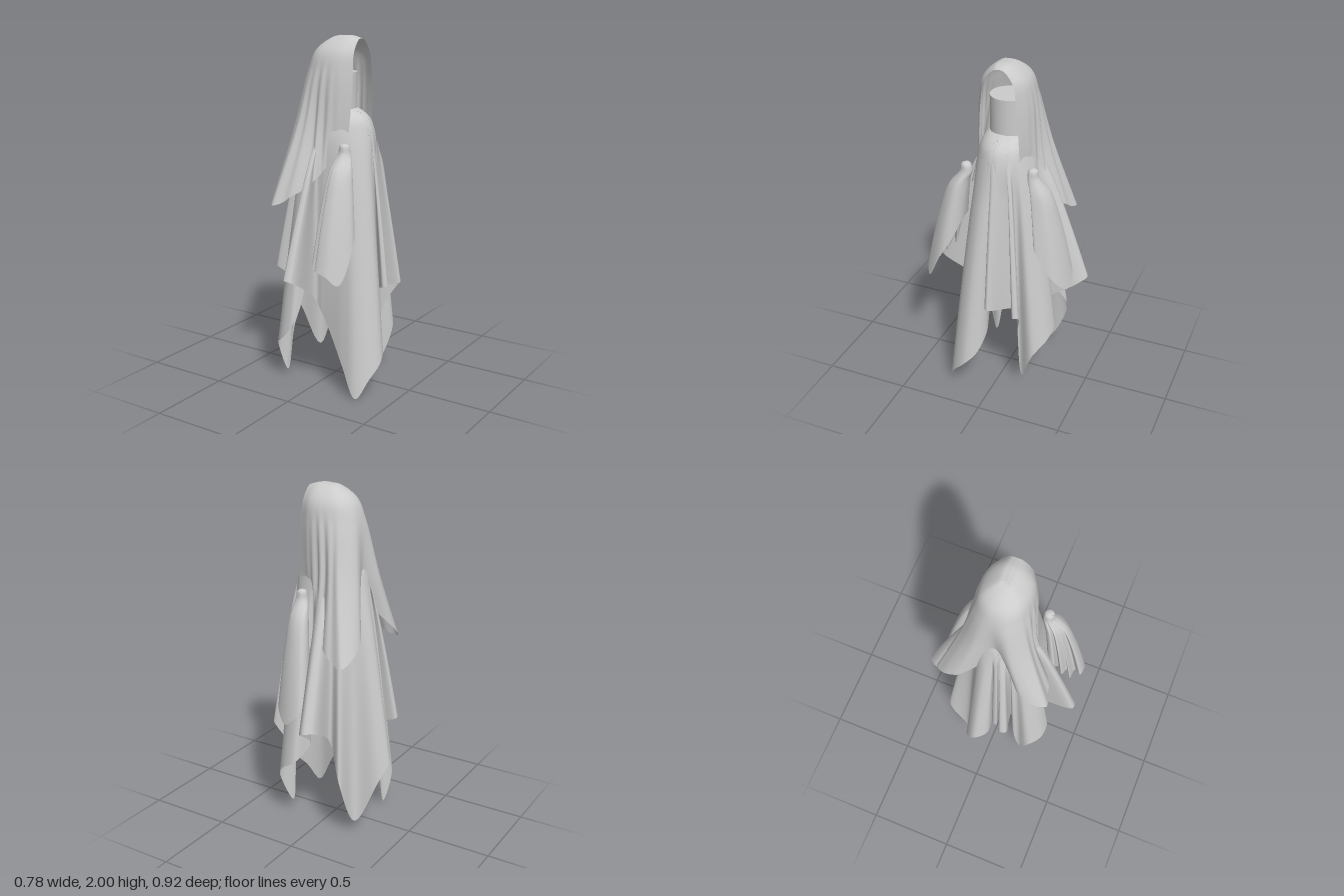
import * as THREE from 'three';

const V = (p) => new THREE.Vector3(...p);
const cloth = new THREE.MeshStandardMaterial({ color: 0xcccccc, side: THREE.DoubleSide });

// Smooth cloth surface through hanging columns of points (every column has the same count).
function drape(name, columns, closed, perColumn, rows, fold = () => 0) {
  const count = columns[0].length;
  const rings = [];
  for (let r = 0; r < count; r++) {
    rings.push(new THREE.CatmullRomCurve3(columns.map((c) => V(c[r])), closed, 'centripetal'));
  }
  const nu = (closed ? columns.length : columns.length - 1) * perColumn;
  const across = closed ? nu : nu + 1;
  const pos = [], idx = [];
  for (let i = 0; i < across; i++) {
    const u = i / nu;
    const line = new THREE.CatmullRomCurve3(rings.map((ring) => ring.getPoint(u)), false, 'centripetal');
    for (let j = 0; j <= rows; j++) {
      const p = line.getPoint(j / rows);
      const k = 1 + fold(u, j / rows);
      pos.push(p.x * k, p.y, p.z * k);
    }
  }
  for (let i = 0; i < nu; i++) {
    for (let j = 0; j < rows; j++) {
      const a = i * (rows + 1) + j;
      const b = ((i + 1) % across) * (rows + 1) + j;
      idx.push(a, b, a + 1, b, b + 1, a + 1);
    }
  }
  const geo = new THREE.BufferGeometry();
  geo.setAttribute('position', new THREE.Float32BufferAttribute(pos, 3));
  geo.setIndex(idx);
  geo.computeVertexNormals();
  const mesh = new THREE.Mesh(geo, cloth);
  mesh.name = name;
  return mesh;
}

// Long robe: hem points run round from +x towards +z; four low corners, thin fins between.
function robe() {
  const hem = [
    [0.35, 0.6, 0], [0.33, 0.6, 0.025], [0.27, 0.57, -0.02], [0.2, 0.55, -0.01],
    [0.2, 0.52, 0.04], [0.29, 0.4, 0.03], [0.36, 0.28, 0.07], [0.39, 0.2, 0.14],
    [0.36, 0.11, 0.22], [0.3, 0, 0.27], [0.2, 0.17, 0.25], [0.11, 0.32, 0.22],
    [0.03, 0.44, 0.2], [-0.02, 0.52, 0.2], [0, 0.68, 0.45], [-0.05, 0.69, 0.46],
    [-0.05, 0.6, 0.26], [-0.1, 0.36, 0.33], [-0.18, 0.27, 0.32], [-0.24, 0.22, 0.26],
    [-0.22, 0.03, 0.19], [-0.21, 0.28, 0.14], [-0.17, 0.5, 0.11], [-0.25, 0.6, 0.125],
    [-0.33, 0.65, 0.14], [-0.34, 0.65, 0.1], [-0.25, 0.62, 0.09], [-0.17, 0.6, 0.07],
    [-0.18, 0.6, 0.04], [-0.3, 0.62, 0.065], [-0.29, 0.62, 0.035], [-0.21, 0.58, 0.01],
    [-0.33, 0.5, 0.02], [-0.385, 0.45, -0.05], [-0.35, 0.33, -0.12], [-0.23, 0.07, -0.17],
    [-0.2, 0.36, -0.3], [-0.1, 0.58, -0.24], [-0.11, 0.7, -0.42], [-0.06, 0.7, -0.46],
    [0, 0.66, -0.4], [0.04, 0.52, -0.22], [0.09, 0.43, -0.32], [0.18, 0.37, -0.31],
    [0.25, 0.27, -0.24], [0.21, 0.08, -0.16], [0.23, 0.4, -0.14],
    [0.33, 0.58, -0.18], [0.34, 0.58, -0.15], [0.21, 0.55, -0.1],
  ];
  const columns = hem.map(([x, y, z]) => {
    const a = Math.atan2(z, x), c = Math.cos(a), s = Math.sin(a);
    const sx = c > 0 ? 0.235 : 0.19, sz = 0.17, top = 1.46;
    const col = [[0, 1.61, 0], [0.12 * c, 1.6, 0.1 * s], [0.85 * sx * c, 1.55, 0.85 * sz * s]];
    for (const t of [0, 0.2, 0.4, 0.6, 0.8, 1]) {
      const f = t ** 0.85;
      col.push([
        THREE.MathUtils.lerp(sx * c, x, f),
        THREE.MathUtils.lerp(top, y, t),
        THREE.MathUtils.lerp(sz * s, z, f),
      ]);
    }
    return col;
  });
  return drape('robe', columns, true, 6, 48);
}

// Hood open towards +x, spreading into two pointed lobes behind.
function hood() {
  const half = [
    [[0.16, 1.985, 0], [0.162, 1.978, 0.03], [0.165, 1.91, 0.082], [0.17, 1.8, 0.1], [0.165, 1.58, 0.115], [0.15, 1.4, 0.125]],
    [[0.1, 2, 0], [0.1, 1.993, 0.04], [0.1, 1.92, 0.113], [0.09, 1.8, 0.143], [0.08, 1.55, 0.155], [0.06, 1.31, 0.16]],
    [[0.05, 2, 0], [0.04, 1.993, 0.04], [0.02, 1.92, 0.12], [0, 1.8, 0.152], [-0.02, 1.5, 0.18], [-0.01, 1.2, 0.24]],
    [[0.04, 2, 0], [0, 1.99, 0.035], [-0.06, 1.92, 0.1], [-0.09, 1.8, 0.13], [-0.13, 1.5, 0.2], [-0.21, 1.07, 0.335]],
    [[0.04, 2, 0], [-0.01, 1.988, 0.018], [-0.1, 1.92, 0.05], [-0.145, 1.8, 0.07], [-0.2, 1.5, 0.12], [-0.25, 1.17, 0.2]],
  ];
  const back = [[0.04, 2, 0], [-0.015, 1.987, 0], [-0.11, 1.92, 0], [-0.155, 1.8, 0], [-0.165, 1.55, 0.01], [-0.145, 1.33, 0.03]];
  // The far lobe spreads a little wider than the near one.
  const mirrored = half.map((c) => c.map(([x, y, z], i) => [i === 5 ? x * 1.05 : x, y, -z * (i === 5 ? 0.96 : 1)])).reverse();
  // Folds gather at the sides of the neck and fade at the crown and the opening.
  const fold = (u, v) => {
    const side = Math.exp(-(((Math.min(u, 1 - u) - 0.2) / 0.08) ** 2));
    return 0.05 * side * THREE.MathUtils.smoothstep(v, 0.45, 0.8) * Math.sin(u * 110);
  };
  return drape('hood', [...half, back, ...mirrored], false, 14, 44, fold);
}

// Cloth hanging from a raised hand at (px, pz), bulging outward to its hem.
function sleeve(name, px, pz, hem) {
  const side = Math.sign(pz);
  const columns = hem.map(([x, y, z]) => {
    const a = Math.atan2(z - 0.3 * side, x - px);
    const tip = (r, h) => [px + r * Math.cos(a), h, pz + r * Math.sin(a)];
    const mid = tip(0.035, 1.38);
    const at = (t) => mid.map((m, i) => m + ([x, y, z][i] - m) * (i === 1 ? t : t ** 0.58));
    return [tip(0, 1.435), tip(0.025, 1.425), mid, at(0.15), at(0.4), at(0.7), at(1)];
  });
  return drape(name, columns, true, 6, 30);
}

export function createModel() {
  const group = new THREE.Group();
  group.add(robe(), hood());
  group.add(sleeve('leftSleeve', 0.175, 0.19, [
    [0.06, 0.98, 0.28], [0.11, 0.85, 0.3], [0.07, 0.86, 0.33], [0.13, 0.8, 0.35],
    [0.09, 0.79, 0.38], [0.16, 0.76, 0.39], [0.14, 0.77, 0.43], [0.21, 0.75, 0.435],
    [0.27, 0.7, 0.4], [0.3, 0.87, 0.31], [0.28, 0.97, 0.25], [0.2, 1.1, 0.2], [0.1, 1.08, 0.22],
  ]));
  group.add(sleeve('rightSleeve', 0.115, -0.18, [
    [0, 0.92, -0.3], [0, 0.8, -0.38], [0.04, 0.74, -0.4], [0.1, 0.7, -0.395],
    [0.17, 0.76, -0.35], [0.2, 0.87, -0.28], [0.2, 0.98, -0.22], [0.15, 0.9, -0.25],
    [0.15, 1.05, -0.2], [0.1, 0.95, -0.25], [0.06, 1.05, -0.21],
  ]));

  // Plain column under the hood
  const neck = new THREE.Mesh(new THREE.CylinderGeometry(0.108, 0.108, 0.4, 40), cloth);
  neck.name = 'neckColumn';
  neck.position.set(0.01, 1.6, 0);
  group.add(neck);
  return group;
}
